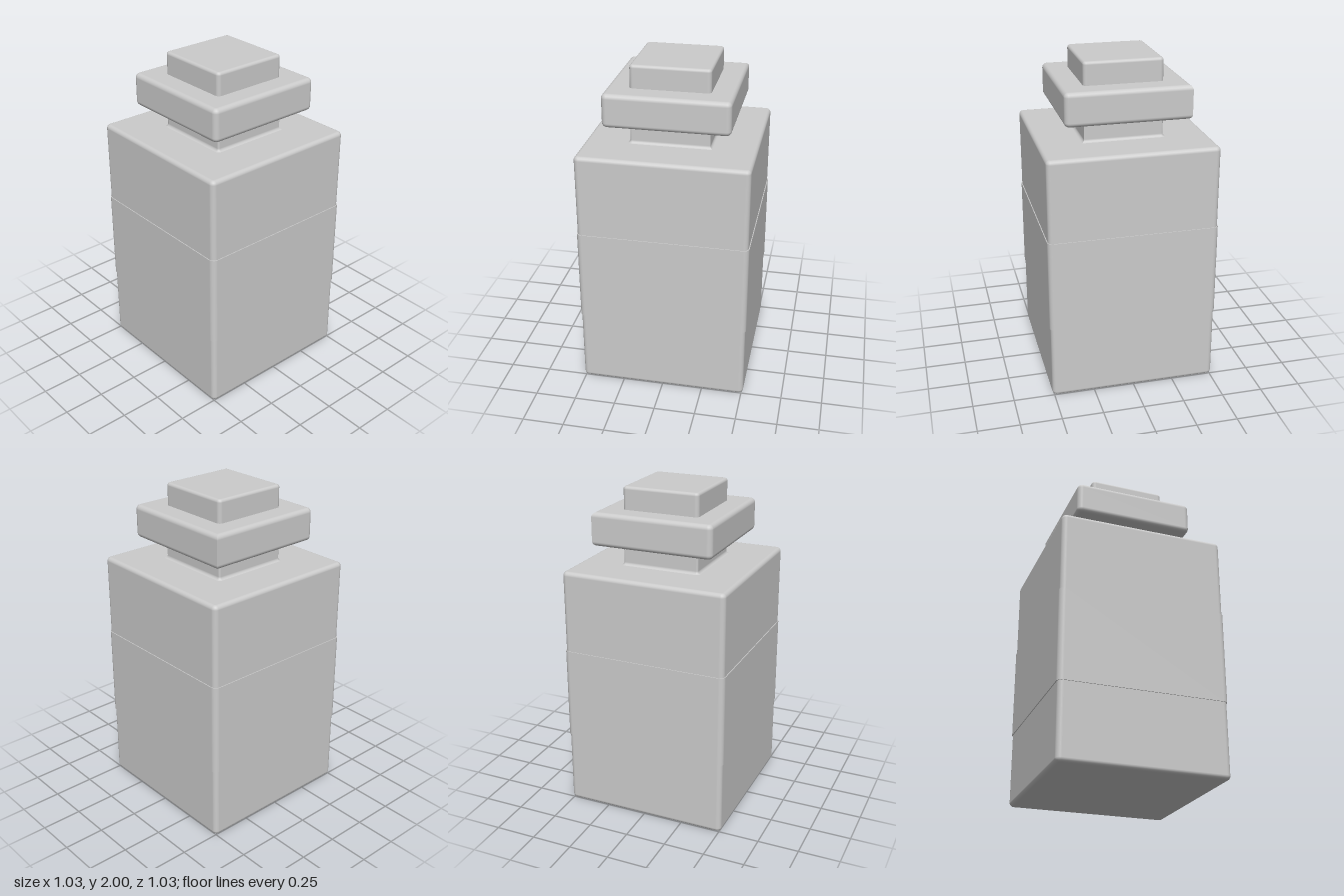
import * as THREE from 'three';

const STEPS = 5; // segments per rounded edge and corner

// Points of a quarter-round edge: { inset, y, tilt of the normal }
function arc(from, to, e, yAt) {
  const rows = [];
  for (let i = 0; i <= STEPS; i++) {
    const t = THREE.MathUtils.lerp(from, to, i / STEPS);
    rows.push({ inset: e * (1 - Math.cos(t)), y: yAt + e * Math.sin(t), tilt: t });
  }
  return rows;
}

// Closed block profile with rounded top and bottom edges
function blockProfile(y0, y1, e) {
  const q = Math.PI / 2;
  return [
    { y: y0, tilt: -q, centre: true },
    ...arc(-q, 0, e, y0 + e),
    ...arc(0, q, e, y1 - e),
    { y: y1, tilt: q, centre: true },
  ];
}

// Loft a rounded square (half width, corner radius r) along a profile.
// sharp = index of one corner left mitred: 0 is +x+z, 3 is +x-z.
function loft(name, half, r, profile, sharp = -1) {
  const pos = [], nor = [], index = [];
  const count = 4 * (STEPS + 1);
  for (const { inset = 0, y, tilt, centre } of profile) {
    for (let c = 0; c < 4; c++) {
      const sx = c === 0 || c === 3 ? 1 : -1;
      const sz = c < 2 ? 1 : -1;
      for (let k = 0; k <= STEPS; k++) {
        const mitred = c === sharp;
        const f = mitred ? Math.round(k / STEPS) : k / STEPS;
        const a = (c + f) * Math.PI / 2;
        const dx = Math.cos(a), dz = Math.sin(a);
        const rad = r - inset;
        const x = sx * (half - r) + rad * (mitred ? sx : dx);
        const z = sz * (half - r) + rad * (mitred ? sz : dz);
        pos.push(centre ? 0 : x, y, centre ? 0 : z);
        nor.push(dx * Math.cos(tilt), Math.sin(tilt), dz * Math.cos(tilt));
      }
    }
  }
  for (let i = 0; i < profile.length - 1; i++) {
    for (let j = 0; j < count; j++) {
      const a = i * count + j, b = i * count + (j + 1) % count;
      const d = a + count, e = b + count;
      if (!profile[i + 1].centre) index.push(a, d, e);
      else index.push(a, d, b);
      if (!profile[i].centre && !profile[i + 1].centre) index.push(a, e, b);
    }
  }
  const g = new THREE.BufferGeometry();
  g.setAttribute('position', new THREE.Float32BufferAttribute(pos, 3));
  g.setAttribute('normal', new THREE.Float32BufferAttribute(nor, 3));
  g.setIndex(index);
  const mesh = new THREE.Mesh(g, new THREE.MeshStandardMaterial({ color: 0xcccccc, side: THREE.DoubleSide }));
  mesh.name = name;
  return mesh;
}

export function createModel() {
  const model = new THREE.Group();
  model.name = 'squareBottle';

  // Bottle body
  model.add(loft('body', 0.511, 0.03, blockProfile(0, 1.525, 0.025)));

  // Thin label band wrapped around the body, with narrow lips
  model.add(loft('label', 0.516, 0.034, [
    { inset: 0.006, y: 0.46, tilt: -Math.PI / 2 },
    { y: 0.46, tilt: -Math.PI / 2 },
    { y: 0.46, tilt: 0 },
    { y: 1.025, tilt: 0 },
    { y: 1.025, tilt: Math.PI / 2 },
    { inset: 0.006, y: 1.025, tilt: Math.PI / 2 },
  ]));

  // Neck flaring into the shoulder with a concave fillet
  const flare = [], f = 0.02;
  for (let i = 0; i <= STEPS; i++) {
    const t = (1 - i / STEPS) * Math.PI / 2;
    flare.push({ inset: -f * (1 - Math.cos(t)), y: 1.524 + f * (1 - Math.sin(t)), tilt: t });
  }
  model.add(loft('neck', 0.239, 0.012, [...flare, { y: 1.68, tilt: 0 }], 0));

  // Wide collar with one mitred corner
  model.add(loft('collar', 0.375, 0.032, blockProfile(1.66, 1.862, 0.028), 3));

  // Cap block on top
  model.add(loft('cap', 0.239, 0.024, blockProfile(1.82, 2, 0.018)));

  return model;
}
